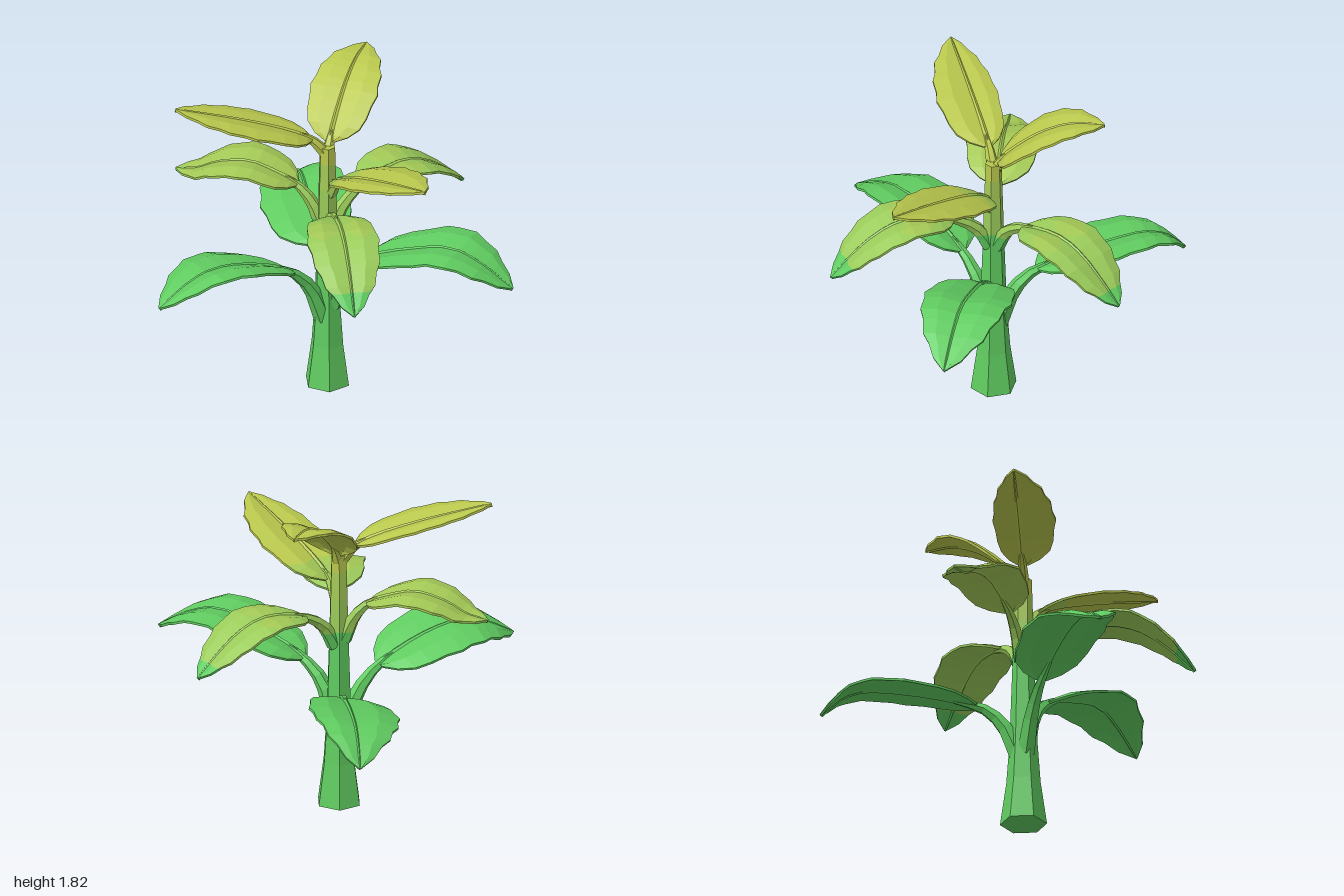
import * as THREE from 'three';

// Foliage colours change with height: [material, top of its band]
const paint = (name, color) => Object.assign(new THREE.MeshStandardMaterial({ color }), { name });
const bands = [
  [paint('leafGreen', 0x60cc60), 1.03],
  [paint('limeGreen', 0x9acb5a), 1.22],
  [paint('yellowLime', 0xa4c956), 1.38],
  [paint('oliveYellow', 0xb9c84d), 9],
];
const STEM_X = -0.13;

// Keep the part of a polygon where sign * (y - h) >= 0
function clip(poly, h, sign) {
  const out = [];
  poly.forEach((a, i) => {
    const b = poly[(i + 1) % poly.length];
    const da = sign * (a.y - h), db = sign * (b.y - h);
    if (da >= 0) out.push(a);
    if ((da > 0 && db < 0) || (da < 0 && db > 0)) out.push(a.clone().lerp(b, da / (da - db)));
  });
  return out;
}

// Skin closed rings, cap both ends and split the faces into the height bands
function loft(name, rings) {
  const tris = [];
  const n = rings[0].length;
  for (let i = 0; i < rings.length - 1; i++) {
    for (let j = 0; j < n; j++) {
      const k = (j + 1) % n;
      const a = rings[i][j], b = rings[i][k], c = rings[i + 1][k], d = rings[i + 1][j];
      tris.push([a, b, c], [a, c, d]);
    }
  }
  const first = rings[0], last = rings[rings.length - 1];
  for (let j = 1; j < n - 1; j++) {
    tris.push([first[0], first[j + 1], first[j]], [last[0], last[j], last[j + 1]]);
  }
  const pos = [];
  const geo = new THREE.BufferGeometry();
  let low = -9;
  bands.forEach(([, high], m) => {
    const start = pos.length / 3;
    for (const t of tris) {
      const p = clip(clip(t, low, 1), high, -1);
      for (let j = 1; j < p.length - 1; j++) {
        for (const v of [p[0], p[j], p[j + 1]]) pos.push(v.x, v.y, v.z);
      }
    }
    if (pos.length / 3 > start) geo.addGroup(start, pos.length / 3 - start, m);
    low = high;
  });
  geo.setAttribute('position', new THREE.Float32BufferAttribute(pos, 3));
  geo.computeVertexNormals();
  const mesh = new THREE.Mesh(geo, bands.map((b) => b[0]));
  mesh.name = name;
  return mesh;
}

// Six-sided trunk flaring at the foot
function makeStem() {
  const profile = [[0, 0.13], [0.25, 0.095], [0.5, 0.077], [1, 0.06], [1.48, 0.046]];
  return loft('stem', profile.map(([y, r]) => Array.from({ length: 6 }, (_, k) => {
    const a = Math.PI / 6 + (k * Math.PI) / 3;
    return new THREE.Vector3(STEM_X + r * Math.sin(a), y, r * Math.cos(a));
  })));
}

// Blade half-width along its length, with ragged edges
const outline = [[0, 0.15], [0.05, 0.5], [0.13, 0.79], [0.23, 0.91], [0.34, 0.95], [0.44, 1.03],
  [0.52, 0.95], [0.63, 0.93], [0.7, 0.79], [0.79, 0.71], [0.85, 0.51], [0.93, 0.33], [1, 0.02]];

// tip is x, z from the stem axis; widths are the two half-widths;
// path lists distance from the axis and height; roll tips the blade sideways
function makeLeaf(name, tip, widths, bladeStart, stalk, path, roll = 0) {
  const dir = new THREE.Vector3(tip[0], 0, tip[1]).normalize();
  const level = new THREE.Vector3(0, 1, 0).cross(dir);
  const curve = new THREE.CatmullRomCurve3(path.map(([r, y]) =>
    new THREE.Vector3(STEM_X + dir.x * r, y, dir.z * r)));
  const ring = (t, section) => {
    const p = curve.getPointAt(t);
    const tangent = curve.getTangentAt(t);
    const side = level.clone().applyAxisAngle(tangent, roll);
    const up = tangent.clone().cross(side);
    return section.map(([s, h]) => p.clone().addScaledVector(side, s).addScaledVector(up, h));
  };
  const group = new THREE.Group();
  group.name = name;

  // Tapering stalk, running on a little under the blade
  const stalkRings = [];
  for (let i = 0; i <= 6; i++) {
    const r = THREE.MathUtils.lerp(stalk, 0.014, (i / 6) ** 1.3);
    const section = Array.from({ length: 6 }, (_, k) =>
      [r * Math.cos((k * Math.PI) / 3), r * Math.sin((k * Math.PI) / 3) - 0.01]);
    stalkRings.push(ring((bladeStart + 0.1) * i / 6, section));
  }
  group.add(loft('stalk', stalkRings));

  // Thin arched blade with a raised midrib
  const bladeRings = outline.map(([u, f]) => {
    const [a, b] = widths.map((w) => w * f);
    const rib = Math.min(0.013 * (1.1 - u * 0.7), Math.min(a, b) * 0.4);
    const top = [[a, 0], [a * 0.55, a * 0.08], [rib, 0], [0, rib * 0.7],
      [-rib, 0], [-b * 0.55, b * 0.08], [-b, 0]];
    const under = top.map(([s, h], i) => [s, i === 3 ? -0.022 : h - 0.014]).reverse();
    return ring(bladeStart + (1 - bladeStart) * u, [...top, ...under]);
  });
  group.add(loft('blade', bladeRings));
  return group;
}

export function createModel() {
  const plant = new THREE.Group();
  plant.name = 'plant';
  plant.add(
    makeStem(),
    // Lower tier
    makeLeaf('lowerLeafLeft', [1.12, -0.01], [0.25, 0.23], 0.28, 0.055,
      [[0.02, 0.5], [0.1, 0.71], [0.25, 0.845], [0.5, 0.95], [0.75, 1.01], [0.92, 0.96], [1.12, 0.84]]),
    makeLeaf('lowerLeafFront', [-0.59, 0.92], [0.22, 0.265], 0.32, 0.055,
      [[0.02, 0.42], [0.1, 0.62], [0.2, 0.74], [0.35, 0.83], [0.6, 0.915], [0.78, 0.93], [0.92, 0.89], [1.1, 0.79]], 0.17),
    makeLeaf('lowerLeafBack', [-0.63, -0.93], [0.265, 0.23], 0.3, 0.055,
      [[0.02, 0.42], [0.1, 0.6], [0.2, 0.7], [0.35, 0.75], [0.6, 0.8], [0.88, 0.82], [1.0, 0.78], [1.12, 0.67]], -0.17),
    // Middle tier
    makeLeaf('middleLeafRight', [-0.86, 0.13], [0.2, 0.21], 0.28, 0.045,
      [[0.02, 0.98], [0.08, 1.12], [0.17, 1.22], [0.3, 1.28], [0.44, 1.32], [0.62, 1.29], [0.75, 1.23], [0.87, 1.21]]),
    makeLeaf('middleLeafBack', [0.44, -0.83], [0.2, 0.19], 0.28, 0.045,
      [[0.02, 0.95], [0.08, 1.06], [0.16, 1.13], [0.3, 1.19], [0.5, 1.22], [0.65, 1.18], [0.8, 1.08], [0.94, 0.96]]),
    makeLeaf('middleLeafFront', [0.53, 0.79], [0.19, 0.2], 0.28, 0.045,
      [[0.02, 0.95], [0.08, 1.06], [0.16, 1.13], [0.3, 1.19], [0.5, 1.22], [0.65, 1.18], [0.8, 1.08], [0.95, 0.93]]),
    // Upper tier
    makeLeaf('upperLeafBack', [-0.05, -0.62], [0.185, 0.195], 0.08, 0.035,
      [[0, 1.44], [0.05, 1.53], [0.15, 1.63], [0.3, 1.74], [0.45, 1.8], [0.62, 1.81]]),
    makeLeaf('upperLeafRight', [-0.72, 0.43], [0.2, 0.14], 0.14, 0.035,
      [[0, 1.44], [0.08, 1.53], [0.2, 1.59], [0.45, 1.67], [0.84, 1.765]]),
    makeLeaf('upperLeafLeft', [0.76, 0.37], [0.215, 0.165], 0.13, 0.035,
      [[0.02, 1.2], [0.08, 1.3], [0.2, 1.37], [0.5, 1.47], [0.845, 1.56]]),
  );
  return plant;
}
